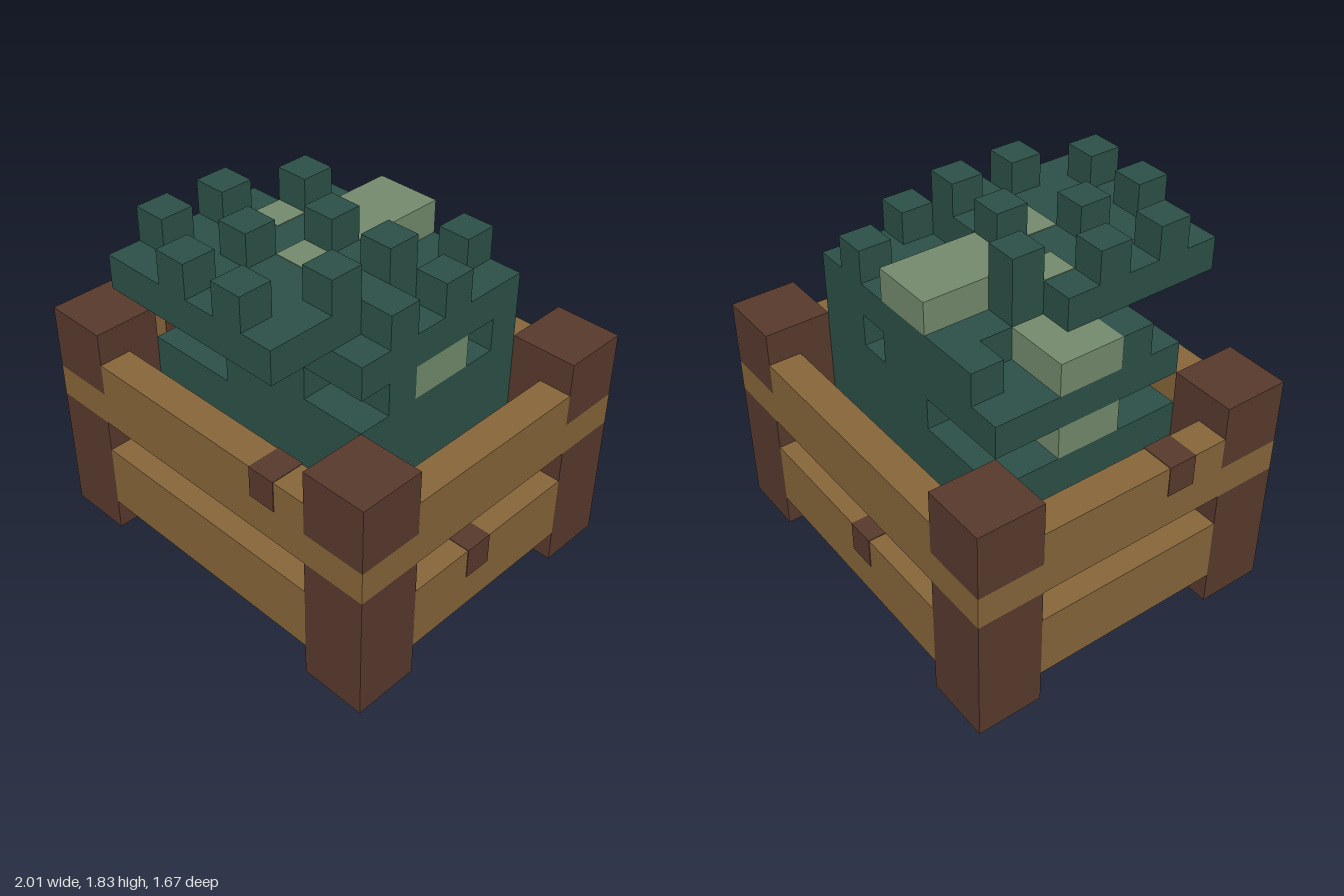
import * as THREE from 'three';

const U = 1 / 6; // one block
const mat = (name, color) => {
  const m = new THREE.MeshStandardMaterial({ color });
  m.name = name;
  return m;
};

export function createModel() {
  const root = new THREE.Group();
  root.name = 'planterCrate';
  const brown = mat('dark brown wood', 0x583a2d);
  const tan = mat('tan wood', 0x87653a);
  const teal = mat('dark teal leaf', 0x2c5047);
  const light = mat('pale green leaf', 0x738a6c);

  const group = (name) => {
    const g = new THREE.Group();
    g.name = name;
    root.add(g);
    return g;
  };
  // Box from min to max corner, in blocks
  const box = (parent, name, m, x0, x1, y0, y1, z0, z1) => {
    const geo = new THREE.BoxGeometry((x1 - x0) * U, (y1 - y0) * U, (z1 - z0) * U);
    const mesh = new THREE.Mesh(geo, m);
    mesh.position.set((x0 + x1) / 2 * U, (y0 + y1) / 2 * U, (z0 + z1) / 2 * U);
    mesh.name = name;
    parent.add(mesh);
  };
  // Same box placed by sign on x and z
  const corner = (parent, name, m, sx, sz, x0, x1, y0, y1, z0, z1) =>
    box(parent, name, m, sx > 0 ? x0 : -x1, sx > 0 ? x1 : -x0, y0, y1,
      sz > 0 ? z0 : -z1, sz > 0 ? z1 : -z0);

  // Crate: floor, posts and rails
  const crate = group('crate');
  box(crate, 'floor', brown, -5, 5, 0, 1, -4, 4);
  for (const sx of [-1, 1]) {
    for (const sz of [-1, 1]) {
      corner(crate, 'postLower', brown, sx, sz, 4, 6, 0, 4, 3, 5);
      corner(crate, 'postCore', brown, sx, sz, 4, 5, 4, 5, 3, 4);
      corner(crate, 'postUpper', brown, sx, sz, 4, 6, 5, 7, 3, 5);
    }
  }
  for (const s of [-1, 1]) {
    // front and back
    corner(crate, 'lowerRail', tan, 1, s, -4, 4, 1, 3, 4, 5);
    corner(crate, 'upperRailBand', tan, 1, s, -6, 6, 4, 5, 4, 5);
    corner(crate, 'upperRail', tan, 1, s, -4, 4, 5, 6, 4, 5);
    // left and right
    corner(crate, 'lowerSideRail', tan, s, 1, 5, 6, 1, 3, -3, 3);
    corner(crate, 'upperSideRailBand', tan, s, 1, 5, 6, 4, 5, -4, 4);
    corner(crate, 'upperSideRail', tan, s, 1, 5, 6, 5, 6, -3, 3);
  }

  // Dark knots wrapped over the rails
  const e = 0.02;
  const knots = group('woodKnots');
  box(knots, 'frontKnot', brown, 2.06, 2.94, 5.05, 6 + e, 4 - e, 5 + e);
  box(knots, 'leftKnot', brown, -6 - e, -5 + e, 5.05, 6 + e, 1.06, 1.94);
  box(knots, 'rightKnot', brown, 5 - e, 6 + e, 2.05, 3 + e, 0.06, 0.94);
  box(knots, 'backKnot', brown, -0.94, -0.06, 2.05, 3 + e, -5 - e, -4 + e);

  // Plant body, stacked in layers with notches
  const plant = group('plant');
  [
    [-4, 4, 1, 6, -3, 3],
    [-1, 4, 6, 7, -3, 3], [-2, -1, 6, 7, -2, 2],
    [-4, 1, 7, 8, -3, 3], [1, 2, 7, 8, -2, 3],
    [2, 4, 7, 8, -3, -2], [2, 3, 7, 8, -2, -1], [3, 4, 7, 8, 1, 2],
    [-2, 4, 8, 9, -3, 3],
    [-3, 3, 9, 10, 0, 5],
  ].forEach((b) => box(plant, 'leafLayer', teal, ...b));

  // Pale leaf blocks set into the layers, and patches on top
  [
    [-4, -2, 6, 7, -1, 1], [2, 4, 7, 8, -1, 1],
    [-4, -2, 8, 9, -1, 1], [-1, 1, 9, 10, -3, 0],
  ].forEach((b) => box(plant, 'paleLeafBlock', light, ...b));
  box(plant, 'paleTopPatch', light, -2, -1, 10, 10 + e, 0, 1);
  box(plant, 'paleTopPatch', light, 0, 2, 10, 10 + e, 1, 2);

  // Knobs: x, z, bottom, top
  [
    [-1, 4, 10, 11], [1, 4, 10, 11], [-3, 3, 10, 11], [2, 2, 10, 11], [-1, 2, 10, 11],
    [-3, 1, 10, 11], [0, 0, 10, 11], [2, 0, 10, 11], [-2, -1, 9, 11],
    [2, -3, 9, 10], [3, 1, 9, 10], [3, -1, 9, 10],
    [-4, 1, 8, 9], [-3, -3, 8, 9],
  ].forEach(([x, z, y0, y1]) => box(plant, 'leafKnob', teal, x, x + 1, y0, y1, z, z + 1));

  return root;
}
